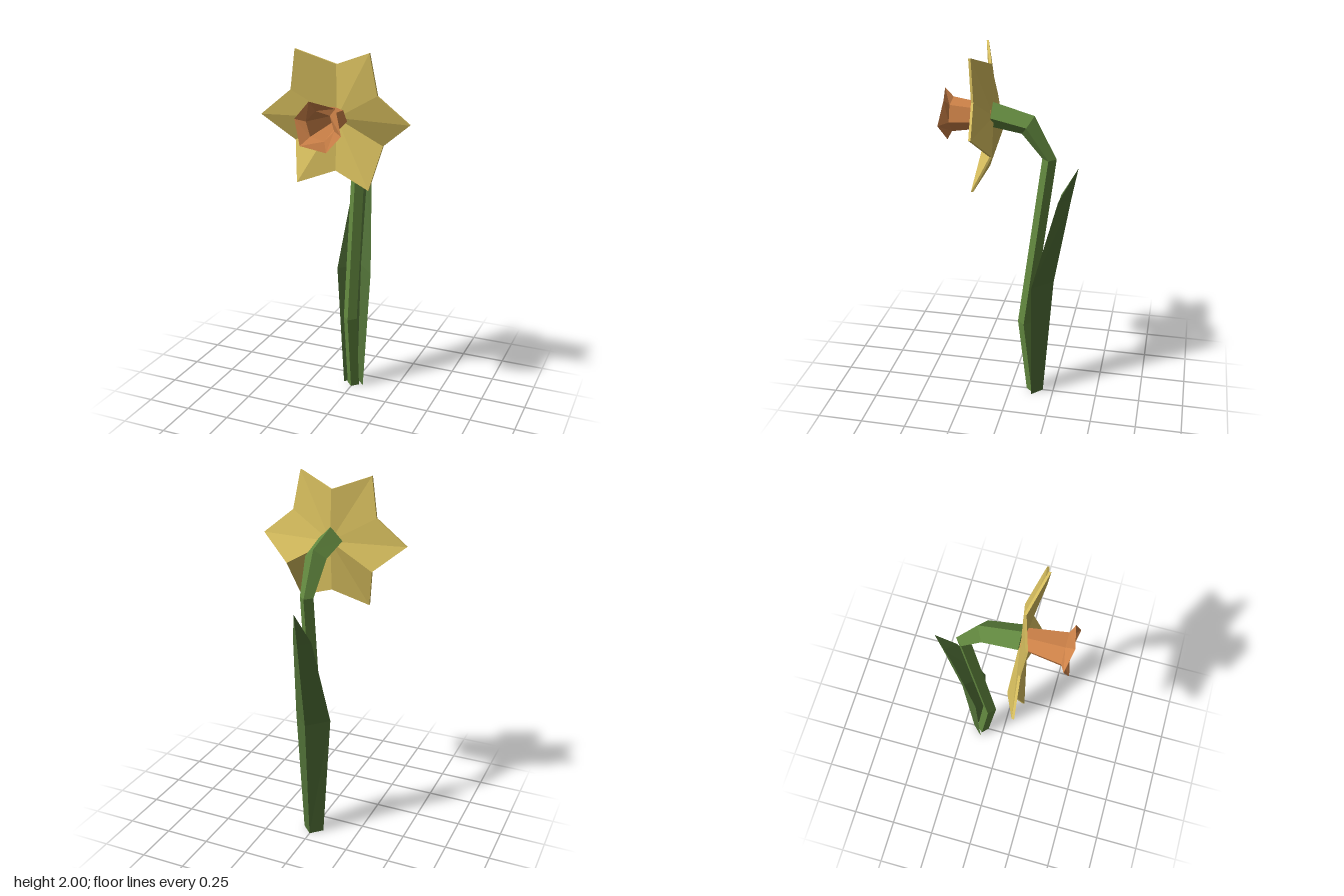
import * as THREE from 'three';

const mat = (name, color, extra = {}) =>
  Object.assign(new THREE.MeshStandardMaterial({ color, flatShading: true, ...extra }), { name });

// Flat-shaded mesh from a list of triangle corners
function meshFrom(name, tris, material) {
  const geo = new THREE.BufferGeometry().setFromPoints(tris);
  geo.computeVertexNormals();
  const mesh = new THREE.Mesh(geo, material);
  mesh.name = name;
  return mesh;
}

// Joins rings of points into a skin, optionally capping both ends
function loft(rings, { closed = true, caps = false } = {}) {
  const tris = [];
  const n = rings[0].length;
  for (let k = 0; k + 1 < rings.length; k++) {
    for (let i = 0; i < (closed ? n : n - 1); i++) {
      const j = (i + 1) % n;
      const [a, b, c, d] = [rings[k][i], rings[k][j], rings[k + 1][j], rings[k + 1][i]];
      tris.push(a, b, c, a, c, d);
    }
  }
  if (caps) {
    const first = rings[0], last = rings[rings.length - 1];
    for (let i = 1; i < n - 1; i++) {
      tris.push(first[0], first[i + 1], first[i], last[0], last[i], last[i + 1]);
    }
  }
  return tris;
}

const V = (x, y, z) => new THREE.Vector3(x, y, z);
const FLOWER_Y = 1.653;

export function createModel() {
  const group = new THREE.Group();
  const stemGreen = mat('stem green', 0x62883f);
  const leafGreen = mat('leaf green', 0x527238, { side: THREE.DoubleSide });
  const petalYellow = mat('petal yellow', 0xd9c05f);
  const trumpetOrange = mat('trumpet orange', 0xcf8349);

  // Four-sided stem that arches forward and swells towards the flower: y, z, radius, tilt
  const stemRings = [
    [0, -0.13, 0.036, 0],
    [0.45, -0.08, 0.04, 0],
    [1.44, -0.204, 0.038, 0],
    [1.618, -0.09, 0.06, 0.98],
    [1.662, 0.095, 0.068, Math.PI / 2],
  ].map(([y, z, r, t]) => {
    const ny = -Math.sin(t) * r, nz = Math.cos(t) * r;
    return [V(r, y, z), V(0, y - ny, z - nz), V(-r, y, z), V(0, y + ny, z + nz)];
  });
  group.add(meshFrom('stem', loft(stemRings, { caps: true }), stemGreen));

  // Folded leaf with its keel at the back: y, half width, edge z, keel z
  const leafRings = [
    [0, 0.06, -0.13, -0.19],
    [0.72, 0.102, -0.132, -0.24],
    [1.22, 0.052, -0.262, -0.324],
    [1.4, 0, -0.358, -0.358],
  ].map(([y, w, edge, keel]) => [V(w, y, edge), V(0, y, keel), V(-w, y, edge)]);
  group.add(meshFrom('leaf', loft(leafRings, { closed: false }), leafGreen));

  // Six-pointed petal star, thin and uneven in depth, one depth per outline point
  const depths = [0.122, 0.146, 0.165, 0.106, 0.165, 0.146, 0.162, 0.096, 0.165, 0.12, 0.165, 0.056];
  const half = 0.006;
  const outline = (dz) => depths.map((z, i) => {
    const a = (i * Math.PI) / 6;
    const r = i % 2 ? 0.274 : 0.402;
    return V(r * Math.cos(a), FLOWER_Y + r * Math.sin(a), z + dz);
  });
  const front = outline(half), back = outline(-half);
  const frontHub = V(0, FLOWER_Y, 0.108), backHub = V(0, FLOWER_Y, 0.092);
  const petals = loft([back, front]);
  for (let i = 0; i < 12; i++) {
    const j = (i + 1) % 12;
    petals.push(frontHub, front[i], front[j], backHub, back[j], back[i]);
  }
  group.add(meshFrom('petals', petals, petalYellow));

  // Hollow hexagonal trumpet with a wavy flared lip: radius, z, wave
  const trumpetRings = [
    [0.058, 0.1, 0],
    [0.09, 0.31, 0],
    [0.134, 0.345, 0.013],
    [0.078, 0.315, 0],
    [0.034, 0.112, 0],
  ].map(([r, z, wave]) => Array.from({ length: 6 }, (_, i) => {
    const a = THREE.MathUtils.degToRad(47 + 60 * i);
    return V(r * Math.cos(a), FLOWER_Y + r * Math.sin(a), z + (i % 2 ? wave : -wave));
  }));
  group.add(meshFrom('trumpet', loft(trumpetRings), trumpetOrange));

  return group;
}
